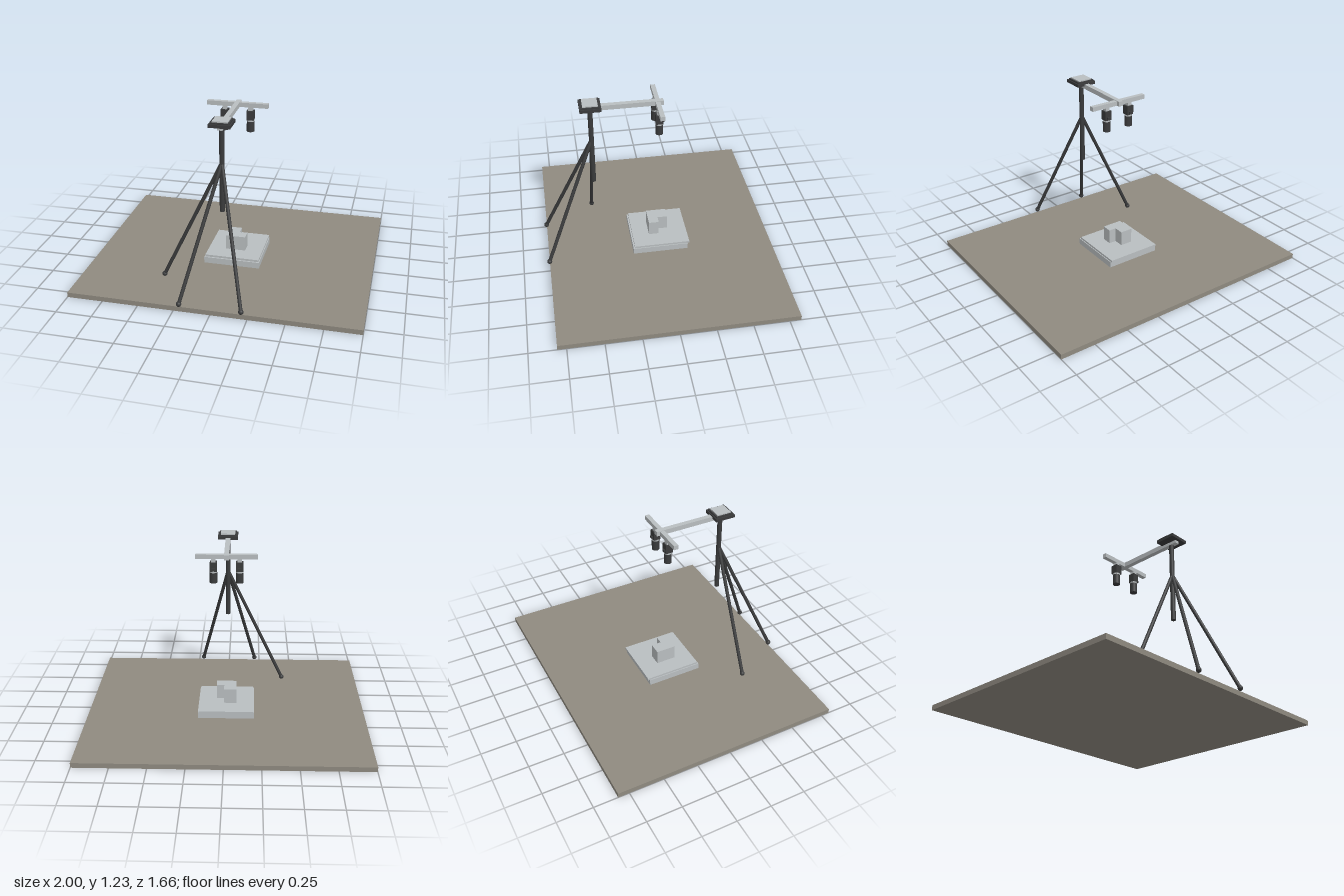
import * as THREE from 'three';

export function createModel() {
  const root = new THREE.Group();
  root.name = 'cameraRig';
  const floorMat = new THREE.MeshStandardMaterial({ name: 'floor taupe', color: 0x8f8a80 });
  const metalMat = new THREE.MeshStandardMaterial({ name: 'light metal', color: 0xb9bec0 });
  const darkMat = new THREE.MeshStandardMaterial({ name: 'dark grey', color: 0x3a3b3c });

  const add = (name, geometry, material, parent = root) => {
    const mesh = new THREE.Mesh(geometry, material);
    mesh.name = name;
    parent.add(mesh);
    return mesh;
  };
  // box given by its limits on each axis
  const box = (name, mat, [x0, x1], [y0, y1], [z0, z1], parent) => {
    const mesh = add(name, new THREE.BoxGeometry(x1 - x0, y1 - y0, z1 - z0), mat, parent);
    mesh.position.set((x0 + x1) / 2, (y0 + y1) / 2, (z0 + z1) / 2);
    return mesh;
  };
  // round rod between two points
  const rod = (name, mat, a, b, radius, parent) => {
    const dir = b.clone().sub(a);
    const mesh = add(name, new THREE.CylinderGeometry(radius, radius, dir.length(), 20), mat, parent);
    mesh.position.copy(a).add(b).multiplyScalar(0.5);
    mesh.quaternion.setFromUnitVectors(new THREE.Vector3(0, 1, 0), dir.normalize());
    return mesh;
  };
  const V = (x, y, z) => new THREE.Vector3(x, y, z);

  // floor slab
  box('floor', floorMat, [-1, 1], [0, 0.035], [-0.829, 0.811]);

  // platform with a slightly shifted top plate
  box('platformBase', metalMat, [-0.202, 0.202], [0.035, 0.08], [-0.204, 0.198]);
  box('platformTop', metalMat, [-0.196, 0.196], [0.08, 0.095], [-0.217, 0.187]);

  // L-shaped workpiece, notched at its back left corner
  const corners = [[-0.073, -0.065], [0.072, -0.065], [0.072, 0.008], [0.017, 0.008], [0.017, 0.08], [-0.073, 0.08]];
  const outline = new THREE.Shape(corners.map(([x, y]) => new THREE.Vector2(x, y)));
  const workpiece = add('workpiece',
    new THREE.ExtrudeGeometry(outline, { depth: 0.108, bevelEnabled: false }), metalMat);
  workpiece.rotation.x = -Math.PI / 2;
  workpiece.position.y = 0.095;

  // tripod: centre post and three splayed legs with ball feet
  const tripod = new THREE.Group();
  tripod.name = 'tripod';
  root.add(tripod);
  const tz = 0.448;
  rod('centrePost', darkMat, V(0, 0.588, tz), V(0, 1.195, tz), 0.017, tripod);
  for (const deg of [60, 120, 270]) {
    const a = THREE.MathUtils.degToRad(deg === 270 ? 180 : deg);
    const foot = V(0.42 * Math.cos(a), 0.056, tz + 0.42 * Math.sin(a));
    rod('leg', darkMat, V(0, 0.935, tz), foot, 0.0125, tripod);
    add('foot', new THREE.SphereGeometry(0.018, 20, 14), darkMat, tripod).position.copy(foot);
  }

  // stepped tripod head
  const plate = (name, mat, half, y) =>
    box(name, mat, [-half, half], y, [tz - half, tz + half], tripod);
  plate('headPlate', darkMat, 0.073, [1.195, 1.217]);
  plate('headStep', darkMat, 0.064, [1.217, 1.226]);
  plate('headCap', metalMat, 0.052, [1.226, 1.234]);

  // boom reaching back, with a crossbar
  box('boom', metalMat, [-0.017, 0.017], [1.174, 1.208], [-0.05, 0.5]);
  box('crossbar', metalMat, [-0.215, 0.215], [1.174, 1.205], [-0.026, 0.006]);

  // two downward cameras
  for (const side of [-1, 1]) {
    const cam = new THREE.Group();
    cam.name = side < 0 ? 'rightCamera' : 'leftCamera';
    cam.position.set(side * 0.091, 0, -0.007);
    root.add(cam);
    const lathe = (name, mat, r, y0, y1) => {
      const mesh = add(name, new THREE.CylinderGeometry(r, r, y1 - y0, 28), mat, cam);
      mesh.position.y = (y0 + y1) / 2;
    };
    box('bracket', metalMat, [-0.015, 0.015], [1.148, 1.176], [-0.015, 0.015], cam);
    box('cameraBody', darkMat, [-0.025, 0.025], [1.085, 1.15], [-0.025, 0.025], cam);
    box('connector', darkMat, [-0.012, 0.012], [1.094, 1.11], [-0.035, -0.024], cam);
    lathe('lensRing', metalMat, 0.0255, 1.074, 1.086);
    lathe('lensBarrel', darkMat, 0.0265, 1.0, 1.074);
  }
  return root;
}
